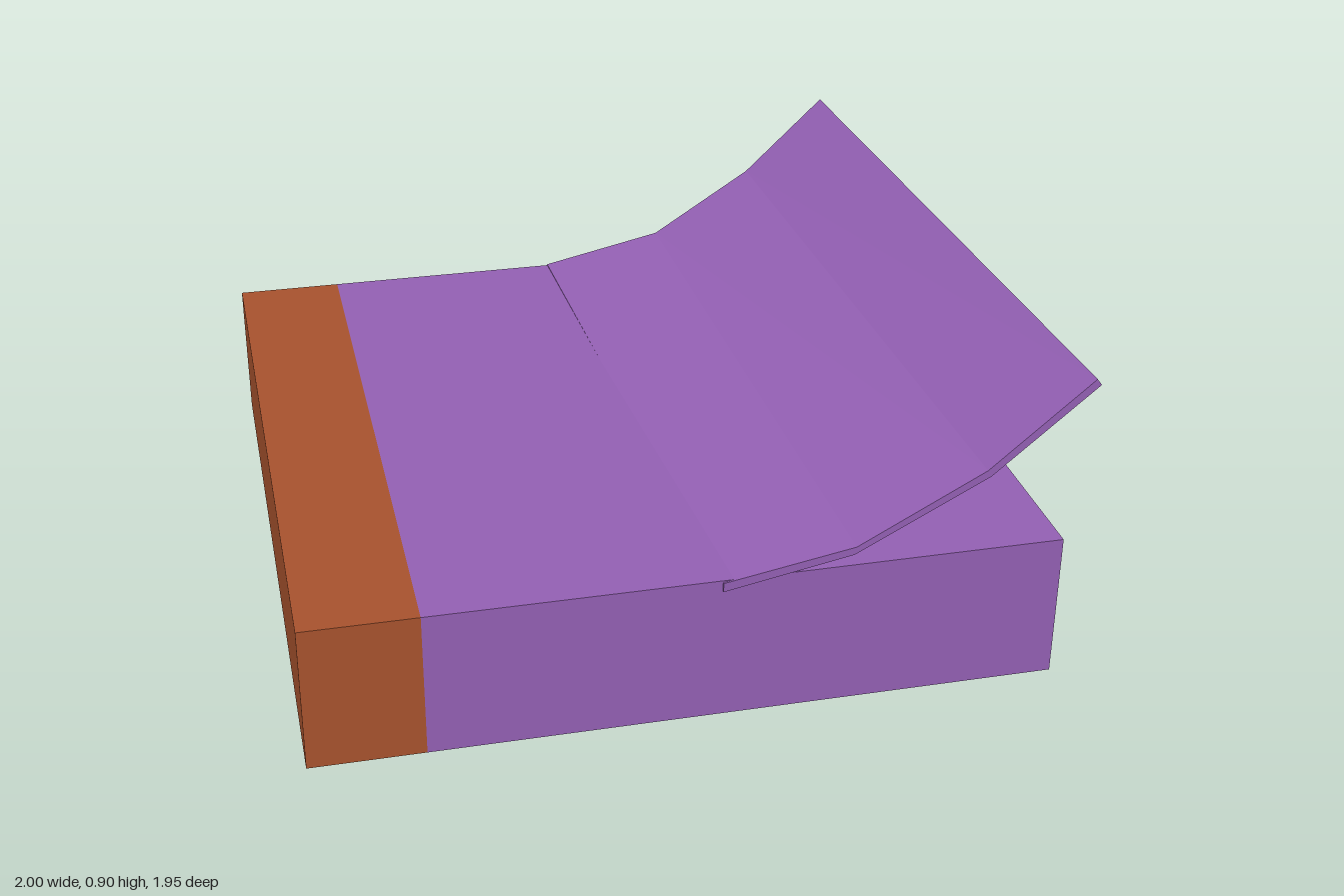
import * as THREE from 'three';

const PURPLE = 0x9460b4, ORANGE = 0xa8532e;

function material(color) {
  return new THREE.MeshStandardMaterial({ color, flatShading: true });
}

function block(name, x0, x1, color) {
  const mesh = new THREE.Mesh(new THREE.BoxGeometry(x1 - x0, 0.4, 1.945), material(color));
  mesh.position.set((x0 + x1) / 2, 0.2, -0.0025);
  mesh.name = name;
  return mesh;
}

// Thin sheet lofted through four-cornered sections, its two edges curling differently
function curledSheet() {
  const frontTop = [[0.05, 0.395], [0.39, 0.455], [0.72, 0.632], [0.985, 0.857]];
  const frontLow = [[0.05, 0.37], [0.385, 0.433], [0.73, 0.614], [0.998, 0.84]];
  const backTop = [[-0.02, 0.403], [0.34, 0.48], [0.64, 0.67], [0.88, 0.896]];
  const backLow = [[-0.02, 0.38], [0.345, 0.459], [0.652, 0.652], [0.894, 0.877]];
  const zFront = 0.975, zBack = -0.975;

  const positions = [], index = [];
  const quad = (a, b, c, d) => index.push(a, b, c, a, c, d);
  for (let i = 0; i < frontTop.length; i++) {
    positions.push(...frontTop[i], zFront, ...frontLow[i], zFront,
      ...backLow[i], zBack, ...backTop[i], zBack);
    if (i === 0) continue;
    const a = (i - 1) * 4, b = i * 4;
    for (let k = 0; k < 4; k++) {
      const n = (k + 1) % 4;
      quad(a + k, a + n, b + n, b + k);
    }
  }
  const end = (frontTop.length - 1) * 4;
  quad(3, 2, 1, 0);
  quad(end, end + 1, end + 2, end + 3);

  const indexed = new THREE.BufferGeometry();
  indexed.setAttribute('position', new THREE.Float32BufferAttribute(positions, 3));
  indexed.setIndex(index);
  const geometry = indexed.toNonIndexed();
  geometry.computeVertexNormals();
  const mesh = new THREE.Mesh(geometry, material(PURPLE));
  mesh.name = 'curledTopSheet';
  return mesh;
}

export function createModel() {
  const group = new THREE.Group();
  group.name = 'notePad';
  group.add(
    block('gluedBinding', -1, -0.7, ORANGE),
    block('paperStack', -0.7, 0.945, PURPLE),
    curledSheet(),
  );
  return group;
}
